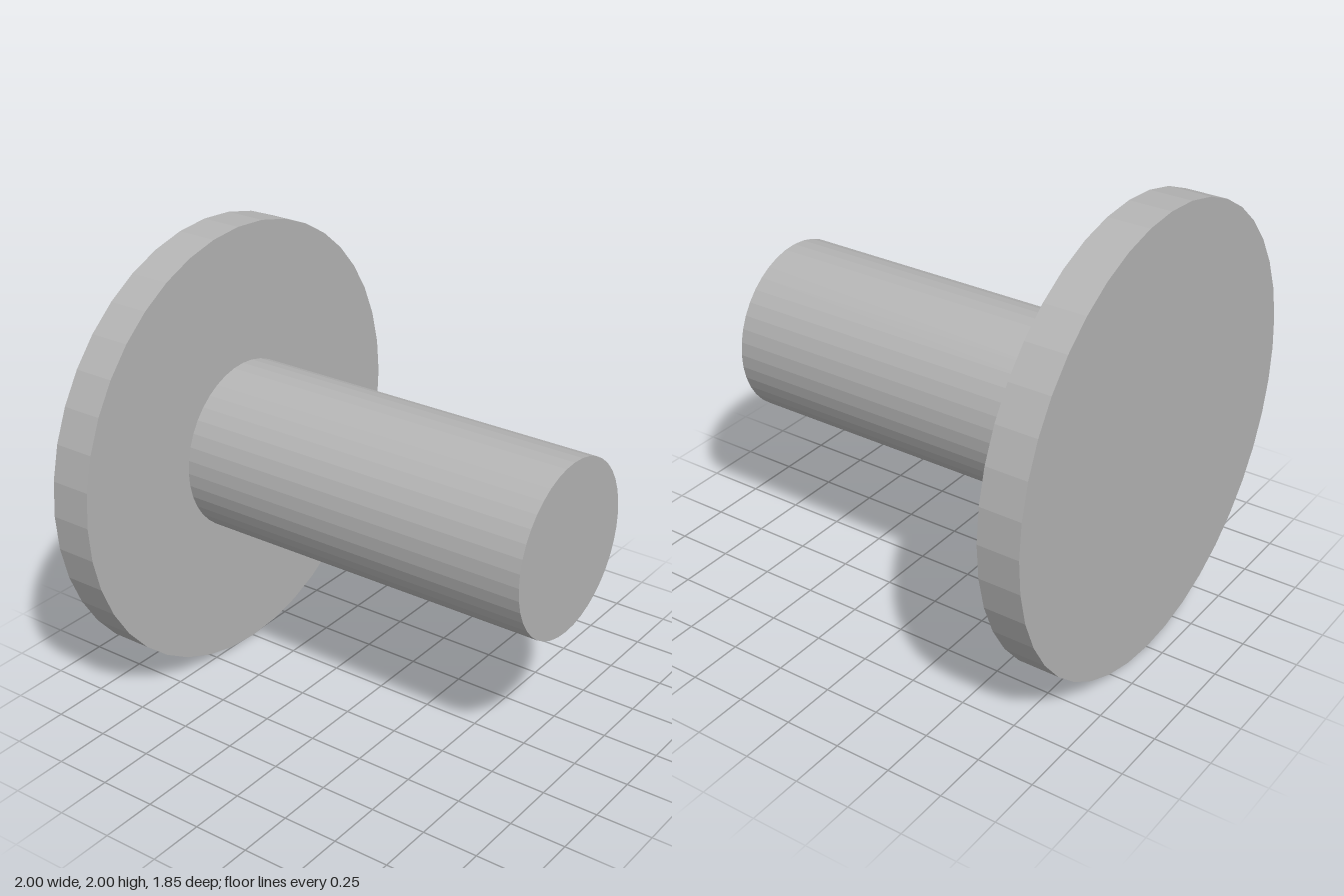
import * as THREE from 'three';

export function createModel() {
  const group = new THREE.Group();
  const grey = new THREE.MeshStandardMaterial({ color: 0xb4b4b4, flatShading: true });
  grey.name = 'grey';

  // Faceted cylinder lying along z, spanning z0 (back) to z1 (front)
  const rod = (name, radius, z0, z1) => {
    const geometry = new THREE.CylinderGeometry(radius, radius, z1 - z0, 40);
    geometry.rotateX(Math.PI / 2);
    const mesh = new THREE.Mesh(geometry, grey);
    mesh.name = name;
    mesh.position.set(0, 1, (z0 + z1) / 2);
    group.add(mesh);
  };

  rod('flangeDisc', 1, -0.924, -0.739);
  rod('shaft', 0.383, -0.739, 0.924);
  return group;
}
